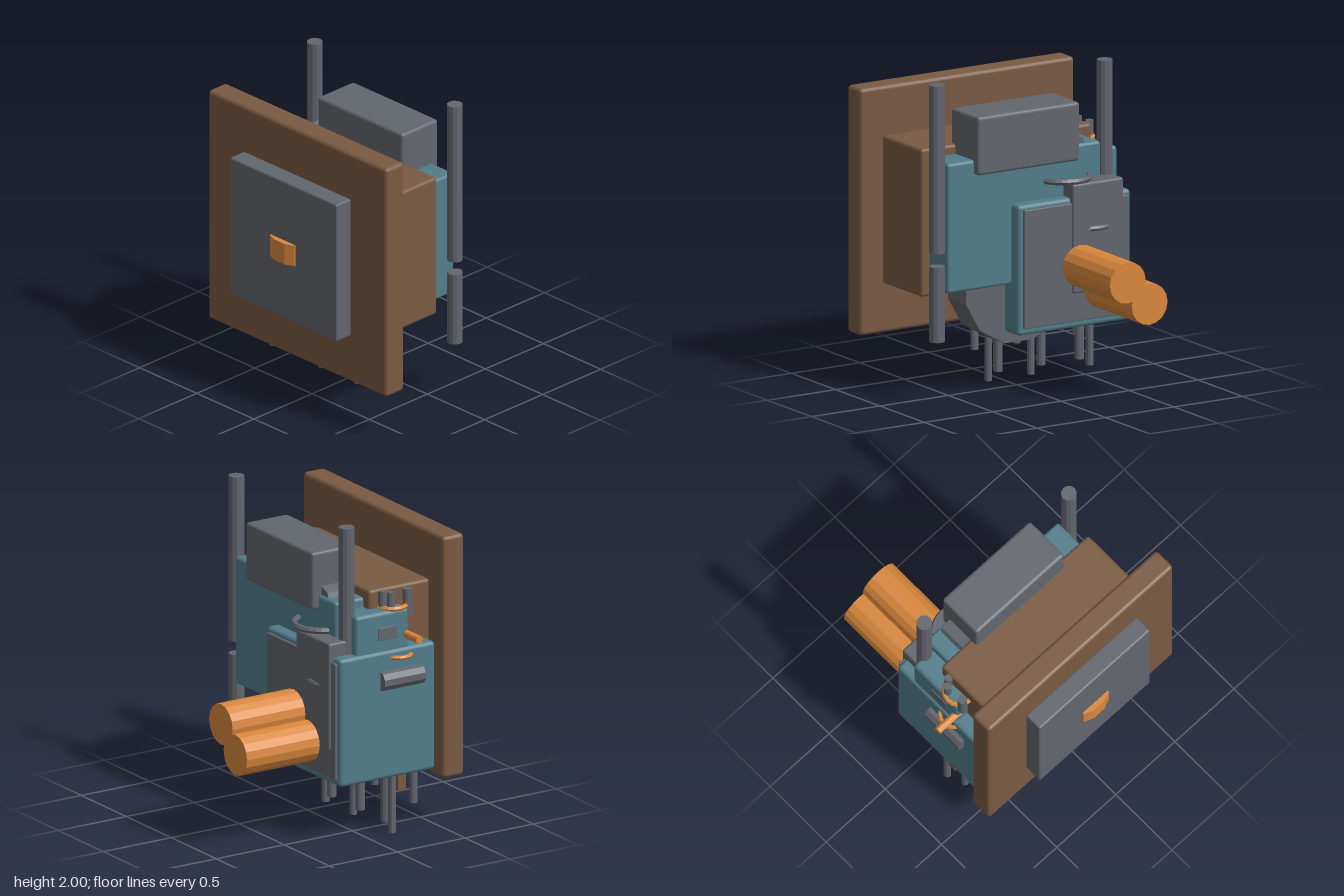
import * as THREE from 'three';
import { RoundedBoxGeometry } from 'three/addons/geometries/RoundedBoxGeometry.js';

const mat = (name, color, flatShading = false) => {
  const m = new THREE.MeshStandardMaterial({ color, flatShading });
  m.name = name;
  return m;
};

export function createModel() {
  const model = new THREE.Group();
  const brown = mat('brown', 0x7a5a42);
  const grey = mat('grey', 0x62666e, true);
  const teal = mat('teal', 0x527d8a);
  const orange = mat('orange', 0xd9873c, true);

  const add = (name, geometry, material) => {
    const mesh = new THREE.Mesh(geometry, material);
    mesh.name = name;
    model.add(mesh);
    return mesh;
  };

  // Rounded block given by its limits on each axis
  const block = (name, material, [x0, x1], [y0, y1], [z0, z1], r = 0.02) => {
    const g = new RoundedBoxGeometry(x1 - x0, y1 - y0, z1 - z0, 2, r);
    g.translate((x0 + x1) / 2, (y0 + y1) / 2, (z0 + z1) / 2);
    return add(name, g, material);
  };

  // Cylinder along one axis, centred at a point
  const rod = (name, material, axis, r, length, [x, y, z], sides = 12) => {
    const g = new THREE.CylinderGeometry(r, r, length, sides);
    if (axis === 'x') g.rotateZ(Math.PI / 2);
    if (axis === 'z') g.rotateX(Math.PI / 2);
    g.translate(x, y, z);
    return add(name, g, material);
  };

  // Upright rod between two heights
  const post = (name, r, x, z, y0, y1) =>
    rod(name, grey, 'y', r, y1 - y0, [x, (y0 + y1) / 2, z]);

  // Horizontal ring or half ring; the half bulges towards -z
  const ring = (name, material, R, tube, [x, y, z], arc = Math.PI * 2) => {
    const g = new THREE.TorusGeometry(R, tube, 6, 16, arc);
    g.rotateX(-Math.PI / 2);
    g.translate(x, y, z);
    return add(name, g, material);
  };

  // Front plate, its panel and the box behind it
  block('frontPlate', brown, [-0.75, 0.815], [0.31, 1.87], [0.505, 0.66], 0.025);
  block('frontPanel', grey, [-0.435, 0.5], [0.625, 1.56], [0.655, 0.78], 0.012);
  block('middleBox', brown, [-0.59, 0.655], [0.625, 1.56], [0.065, 0.515]);

  // Faceted badge on the panel
  const badge = new THREE.Shape([
    [-0.107, 0.02], [-0.107, -0.005], [-0.045, -0.03], [0.045, -0.03], [0.107, -0.005], [0.107, 0.02],
  ].map(([x, z]) => new THREE.Vector2(x, z)));
  const badgeGeometry = new THREE.ExtrudeGeometry(badge, { depth: 0.14, bevelEnabled: false });
  badgeGeometry.rotateX(-Math.PI / 2);
  badgeGeometry.translate(0.033, 1.02, 0.785);
  add('badge', badgeGeometry, orange);

  // Rear body blocks
  block('rearBody', teal, [-0.525, 0.595], [0.68, 1.5], [-0.14, 0.1]);
  block('lowerBody', teal, [-0.695, 0.13], [0.365, 1.19], [-0.217, 0.485], 0.025);
  block('sideBox', teal, [-0.68, -0.4], [1.1, 1.44], [-0.09, 0.3], 0.025);
  block('topBox', grey, [-0.34, 0.405], [1.41, 1.78], [-0.19, 0.12]);

  // Rear panels
  block('rearPanel', grey, [-0.665, 0.095], [0.41, 1.16], [-0.235, -0.2], 0.006);
  block('rearHousing', grey, [-0.62, -0.25], [0.59, 1.28], [-0.25, -0.02], 0.015);

  // Wheel under the rear body, and the small roller beside the top box
  rod('wheel', grey, 'z', 0.4, 0.205, [0.03, 0.68, 0.033], 12).geometry
    .translate(-0.03, -0.68, 0).rotateZ(Math.PI / 12).translate(0.03, 0.68, 0);
  rod('roller', grey, 'z', 0.1, 0.18, [-0.335, 1.46, -0.03], 8);

  // Tall posts, each in two sections
  for (const x of [-0.58, 0.645]) {
    post('upperPost', 0.049, x, -0.095, 0.94, 2);
    post('lowerPost', 0.049, x, -0.095, 0.38, 0.855);
  }

  // Twin rear cylinders
  for (const [x, y] of [[-0.28, 0.775], [-0.44, 0.62]])
    rod('rearCylinder', orange, 'z', 0.131, 0.535, [x, y, -0.5525], 16);

  // Curved rear handles
  ring('rearHandle', grey, 0.17, 0.02, [-0.28, 1.3, -0.08], Math.PI);
  ring('smallHandle', grey, 0.15, 0.018, [-0.44, 0.985, -0.102], Math.PI);

  // Feet in groups of three
  for (const x of [-0.655, -0.225, 0.085]) {
    post('longFoot', 0.024, x, 0.19, 0, 0.4);
    post('shortFoot', 0.024, x, 0.347, 0.165, 0.4);
  }
  for (const x of [-0.58, -0.3, 0.015]) post('thickFoot', 0.029, x, 0.19, 0.05, 0.4);

  // Underside plate and pegs
  block('undersidePlate', orange, [-0.52, -0.34], [0.352, 0.375], [0.13, 0.33], 0.004);
  for (const x of [-0.645, -0.235])
    block('undersidePeg', brown, [x - 0.033, x + 0.033], [0.265, 0.4], [0.22, 0.28], 0.006);

  // Fittings on the right side
  rod('sideRoller', grey, 'z', 0.065, 0.3, [-0.683, 1.0, 0.23], 10);
  block('sideLabel', grey, [-0.686, -0.672], [1.26, 1.34], [0.07, 0.21], 0.003);
  rod('sidePeg', orange, 'x', 0.025, 0.2, [-0.725, 1.27, 0.28]);
  ring('sideRing', orange, 0.085, 0.014, [-0.645, 1.14, 0.235]);

  // Ring and pins on top of the side box
  ring('topRing', orange, 0.09, 0.016, [-0.595, 1.445, 0.225]);
  for (const [x, z, r] of [[-0.65, 0.185, 0.025], [-0.643, 0.31, 0.03], [-0.607, 0.15, 0.025]])
    post('topPin', r, x, z, 1.38, 1.55);

  return model;
}
